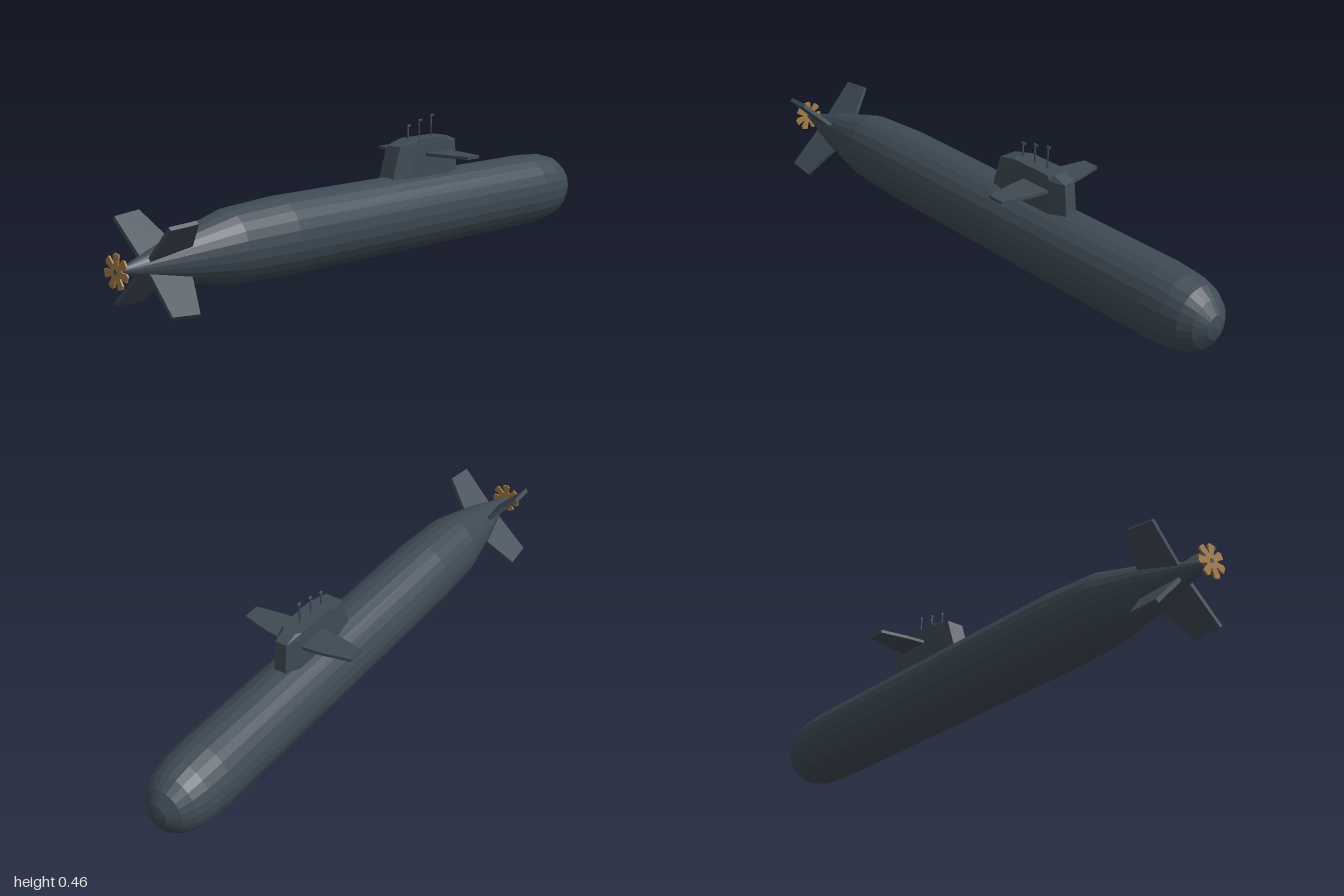
import * as THREE from 'three';

const hullGrey = new THREE.MeshStandardMaterial({ color: 0x3e4a54 });
hullGrey.name = 'hull grey';
const bronze = new THREE.MeshStandardMaterial({ color: 0xa67c46 });
bronze.name = 'propeller bronze';

// Faceted mesh: every face gets its own normal
function part(name, geometry, material = hullGrey) {
  const flat = geometry.index ? geometry.toNonIndexed() : geometry;
  flat.computeVertexNormals();
  const mesh = new THREE.Mesh(flat, material);
  mesh.name = name;
  return mesh;
}

// Flat plate from an outline of [outward, z] points, centred on its thickness
function plate(outline, thickness) {
  const shape = new THREE.Shape(outline.map(([x, z]) => new THREE.Vector2(x, z)));
  const g = new THREE.ExtrudeGeometry(shape, { depth: thickness, bevelEnabled: false });
  return g.translate(0, 0, -thickness / 2).rotateX(Math.PI / 2);
}

// Skin between stacked rings of equal point count, closed with a top fan
function loft(rings) {
  const n = rings[0].length;
  const index = [];
  for (let r = 0; r < rings.length - 1; r++) {
    for (let i = 0; i < n; i++) {
      const a = r * n + i, b = r * n + (i + 1) % n;
      index.push(a, b, b + n, a, b + n, a + n);
    }
  }
  const top = (rings.length - 1) * n;
  for (let i = 1; i < n - 1; i++) index.push(top, top + i, top + i + 1);
  const g = new THREE.BufferGeometry();
  g.setAttribute('position', new THREE.Float32BufferAttribute(rings.flat(2), 3));
  g.setIndex(index);
  return g;
}

// Oval hull, its axis dropping slightly toward the stern
function hullGeometry() {
  const profile = [
    [0, -1], [0.3, -0.993], [0.62, -0.968], [0.83, -0.93], [0.95, -0.875], [1, -0.79],
    [1, 0.4], [0.915, 0.6], [0.58, 0.78], [0.28, 0.9], [0.09, 0.975], [0, 0.978],
  ].map(([r, z]) => new THREE.Vector2(r, z));
  const g = new THREE.LatheGeometry(profile, 24).rotateX(Math.PI / 2);
  const p = g.attributes.position;
  for (let i = 0; i < p.count; i++) {
    const z = p.getZ(i);
    const axis = 0.15 - 0.014 * THREE.MathUtils.clamp((z - 0.55) / 0.4, 0, 1);
    p.setXY(i, p.getX(i) * 0.11, axis + p.getY(i) * 0.123);
  }
  return g;
}

// Eight-sided plan of the sail at one height
function sailRing(y, zs, ws) {
  const port = zs.map((z, i) => [ws[i], y, z]);
  const starboard = port.map(([x, h, z]) => [-x, h, z]).reverse();
  return [...starboard, ...port];
}

export function createModel() {
  const model = new THREE.Group();
  model.name = 'submarine';
  model.add(part('hull', hullGeometry()));

  // Sail with sloped aft face and chamfered top
  model.add(part('sail', loft([
    sailRing(0.24, [-0.408, -0.35, -0.14, -0.072], [0.02, 0.04, 0.04, 0.03]),
    sailRing(0.37, [-0.395, -0.345, -0.18, -0.115], [0.02, 0.037, 0.037, 0.03]),
    sailRing(0.387, [-0.35, -0.335, -0.19, -0.18], [0.022, 0.036, 0.036, 0.03]),
  ].map((ring) => ring.reverse()))));

  // Dive planes on the sail
  const planeOutline = [[0.02, -0.345], [0.1, -0.335], [0.193, -0.312], [0.193, -0.255], [0.1, -0.238], [0.02, -0.23]];
  [['left', 0], ['right', Math.PI]].forEach(([side, angle]) => {
    const plane = part(`${side}DivePlane`, plate(planeOutline, 0.01));
    plane.rotation.z = angle;
    plane.position.y = 0.335;
    model.add(plane);
  });

  // Masts with short forward-facing heads
  [[-0.185, 0.43], [-0.24, 0.443], [-0.297, 0.455]].forEach(([z, top], i) => {
    const mast = new THREE.Group();
    mast.name = `mast${i + 1}`;
    const height = top - 0.37;
    const stem = part('mastStem', new THREE.CylinderGeometry(0.0028, 0.0028, height, 8));
    stem.position.set(0, 0.37 + height / 2, z);
    const head = part('mastHead', new THREE.CylinderGeometry(0.0043, 0.0043, 0.014, 8).rotateX(Math.PI / 2));
    head.position.set(0, top, z - 0.003);
    mast.add(stem, head);
    model.add(mast);
  });

  // Stern fins in an X
  const finOutline = [[0.02, 0.76], [0.08, 0.775], [0.185, 0.815], [0.176, 0.908], [0.02, 0.9]];
  for (let i = 0; i < 4; i++) {
    const fin = part(`sternFin${i + 1}`, plate(finOutline, 0.013));
    fin.rotation.z = Math.PI / 4 + i * Math.PI / 2;
    fin.position.y = 0.135;
    model.add(fin);
  }

  // Seven-bladed propeller: blades flare outward from a small disc
  const outline = [];
  const blades = 7;
  for (let i = 0; i < blades; i++) {
    const a = THREE.MathUtils.degToRad(88) + i * 2 * Math.PI / blades;
    [[0.024, -0.36], [0.051, -0.25], [0.053, 0.12], [0.047, 0.27], [0.024, 0.36]].forEach(([r, d]) =>
      outline.push(new THREE.Vector2(r * Math.cos(a + d), r * Math.sin(a + d))));
  }
  const propeller = part('propeller', new THREE.ExtrudeGeometry(new THREE.Shape(outline),
    { depth: 0.006, bevelEnabled: false }), bronze);
  propeller.position.set(0, 0.136, 0.993);
  model.add(propeller);

  const shaft = part('propellerShaft', new THREE.CylinderGeometry(0.007, 0.007, 0.05, 10).rotateX(Math.PI / 2));
  shaft.position.set(0, 0.136, 0.975);
  model.add(shaft);
  return model;
}
